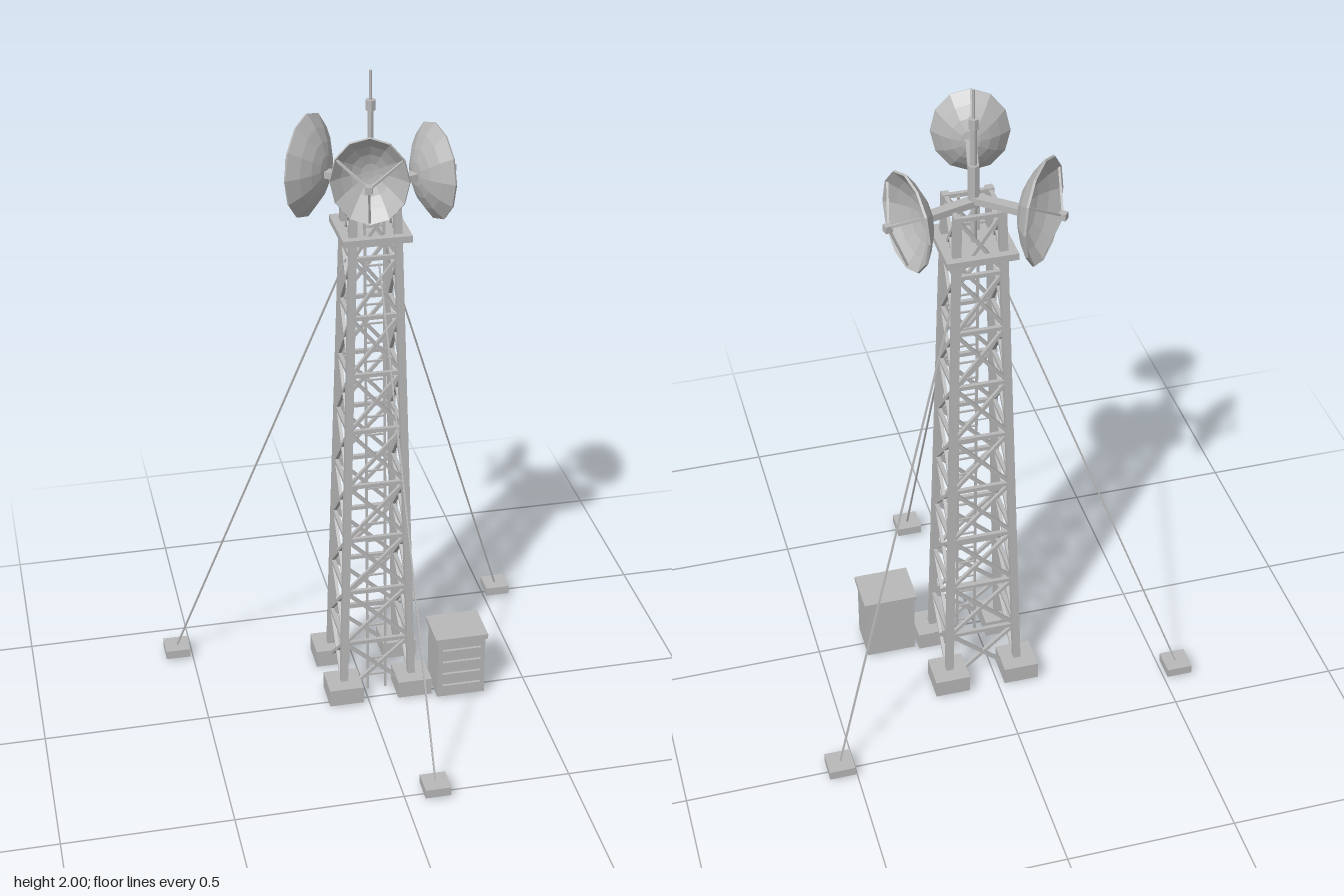
import * as THREE from 'three';

const V = (x, y, z) => new THREE.Vector3(x, y, z);
const CX = 0.036, CZ = -0.13;            // tower axis
const TOP = 1.65, PANELS = 9;
const half = y => 0.108 - 0.046 * (y / TOP); // tower half width at height y
const corner = (i, y) => {
  const sx = [1, 1, -1, -1][i % 4], sz = [1, -1, -1, 1][i % 4];
  return V(CX + sx * half(y), y, CZ + sz * half(y));
};

export function createModel() {
  const root = new THREE.Group();
  root.name = 'guyedRadioTower';
  const steel = new THREE.MeshStandardMaterial({ color: 0xb8b8b8, flatShading: true, side: THREE.DoubleSide });
  steel.name = 'grey steel';

  const group = (name, parent = root) => {
    const g = new THREE.Group();
    g.name = name;
    parent.add(g);
    return g;
  };
  const add = (parent, name, geo, x = 0, y = 0, z = 0) => {
    const m = new THREE.Mesh(geo, steel);
    m.name = name;
    m.position.set(x, y, z);
    parent.add(m);
    return m;
  };
  const box = (parent, name, w, h, d, x, y, z) => add(parent, name, new THREE.BoxGeometry(w, h, d), x, y, z);
  // Square bar running between two points
  const beam = (parent, name, a, b, w, h = w) => {
    const m = new THREE.Mesh(new THREE.BoxGeometry(w, h, a.distanceTo(b)), steel);
    const dir = b.clone().sub(a).normalize();
    if (Math.abs(dir.y) > 0.9) m.up.set(0, 0, 1);
    m.position.copy(a).lerp(b, 0.5);
    m.lookAt(b);
    m.name = name;
    parent.add(m);
    return m;
  };

  // Footings and legs
  const tower = group('latticeTower');
  for (let i = 0; i < 4; i++) {
    const f = corner(i, 0);
    box(tower, 'footing', 0.106, 0.056, 0.106, f.x, 0.033, f.z);
    beam(tower, 'leg', corner(i, 0), corner(i, TOP + 0.01), 0.022);
  }

  // Horizontal bars and cross braces on every face
  for (let p = 0; p < PANELS; p++) {
    const y0 = 0.01 + p * (TOP - 0.01) / PANELS, y1 = 0.01 + (p + 1) * (TOP - 0.01) / PANELS;
    for (let i = 0; i < 4; i++) {
      beam(tower, 'crossBrace', corner(i, y0), corner(i + 1, y1), 0.01);
      beam(tower, 'crossBrace', corner(i + 1, y0), corner(i, y1), 0.01);
      beam(tower, 'horizontalBar', corner(i, y1), corner(i + 1, y1), 0.012);
    }
  }

  // Ladder following the front face
  const ladder = group('ladder', tower);
  const ladderZ = y => CZ + half(y) - 0.012;
  for (const s of [-1, 1]) {
    const x = CX + s * 0.028;
    beam(ladder, 'ladderRail', V(x, 0.01, ladderZ(0.01)), V(x, TOP, ladderZ(TOP)), 0.007);
  }
  for (let y = 0.06; y < TOP; y += 0.06) box(ladder, 'rung', 0.056, 0.005, 0.005, CX, y, ladderZ(y));

  // Platform with edge beams
  const platform = group('platform');
  box(platform, 'deck', 0.17, 0.008, 0.17, CX, 1.53, CZ);
  for (const s of [-1, 1]) {
    box(platform, 'edgeBeam', 0.2, 0.02, 0.022, CX, 1.53, CZ + s * 0.089);
    box(platform, 'edgeBeam', 0.022, 0.02, 0.2, CX + s * 0.089, 1.53, CZ);
  }

  // Mast and whip antenna
  const mast = group('mast');
  add(mast, 'mastPole', new THREE.CylinderGeometry(0.009, 0.009, 0.37, 8), CX, 1.715, CZ);
  add(mast, 'antennaCollar', new THREE.CylinderGeometry(0.014, 0.014, 0.03, 8), CX, 1.9, CZ);
  add(mast, 'whipAntenna', new THREE.CylinderGeometry(0.004, 0.004, 0.1, 6), CX, 1.95, CZ);

  // Dishes: rim centre, facing direction, half height, arm height
  const dishes = [
    [V(-0.01, 1.758, 0.072), V(-0.25, 0, 0.968), 0.128, 1.755],
    [V(0.233, 1.665, -0.188), V(0.964, 0, -0.267), 0.146, 1.66],
    [V(-0.118, 1.683, -0.258), V(-0.78, 0, -0.627), 0.156, 1.67],
  ];
  for (const [centre, dir, r, armY] of dishes) {
    const depth = 0.062, g = group('dishAntenna'), profile = [];
    for (let i = 0; i <= 4; i++) profile.push(new THREE.Vector2(r * i / 4, -depth * (1 - (i / 4) ** 2)));
    for (let i = 4; i >= 0; i--) profile.push(new THREE.Vector2(r * i / 4 * 0.98, 0.006 - depth * (1 - (i / 4) ** 2)));
    const aspect = 0.86;
    const shell = new THREE.LatheGeometry(profile, 12).rotateX(Math.PI / 2).scale(aspect, 1, 1);
    add(g, 'dishBowl', shell);
    const feed = V(0, 0, 0.056);
    box(g, 'feedHorn', 0.02, 0.02, 0.02, 0, 0, 0.058);
    for (let k = 0; k < 3; k++) {
      const a = -Math.PI / 2 + k * Math.PI * 2 / 3;
      beam(g, 'feedStrut', V(Math.cos(a) * r * aspect * 0.95, Math.sin(a) * r * 0.95, 0), feed, 0.006);
    }
    g.position.copy(centre);
    g.rotation.y = Math.atan2(dir.x, dir.z);
    const back = centre.clone().addScaledVector(dir, -depth + 0.008);
    beam(root, 'dishArm', V(CX, armY, CZ), V(back.x, armY, back.z), 0.03, 0.02);
  }
  add(root, 'armHub', new THREE.CylinderGeometry(0.016, 0.016, 0.13, 8), CX, 1.71, CZ);

  // Guy wires and anchor blocks
  const guys = [
    [V(-0.547, 0.03, -0.362), V(-0.03, 1.43, -0.155)],
    [V(0.544, 0.03, -0.5), V(0.085, 1.46, -0.167)],
    [V(0.095, 0.03, 0.495), V(0.046, 1.45, -0.06)],
  ];
  for (const [a, b] of guys) {
    box(root, 'guyAnchor', 0.077, 0.028, 0.077, a.x, 0.022, a.z);
    beam(root, 'guyWire', a, b, 0.005);
  }

  // Equipment cabinet with lid and louvres
  const cabinet = group('equipmentCabinet');
  box(cabinet, 'cabinetBody', 0.15, 0.2, 0.125, 0.283, 0.11, -0.004);
  box(cabinet, 'cabinetLid', 0.164, 0.016, 0.138, 0.283, 0.217, -0.005);
  for (let i = 0; i < 4; i++) box(cabinet, 'louvre', 0.12, 0.008, 0.009, 0.283, 0.05 + i * 0.043, 0.063);

  return root;
}
